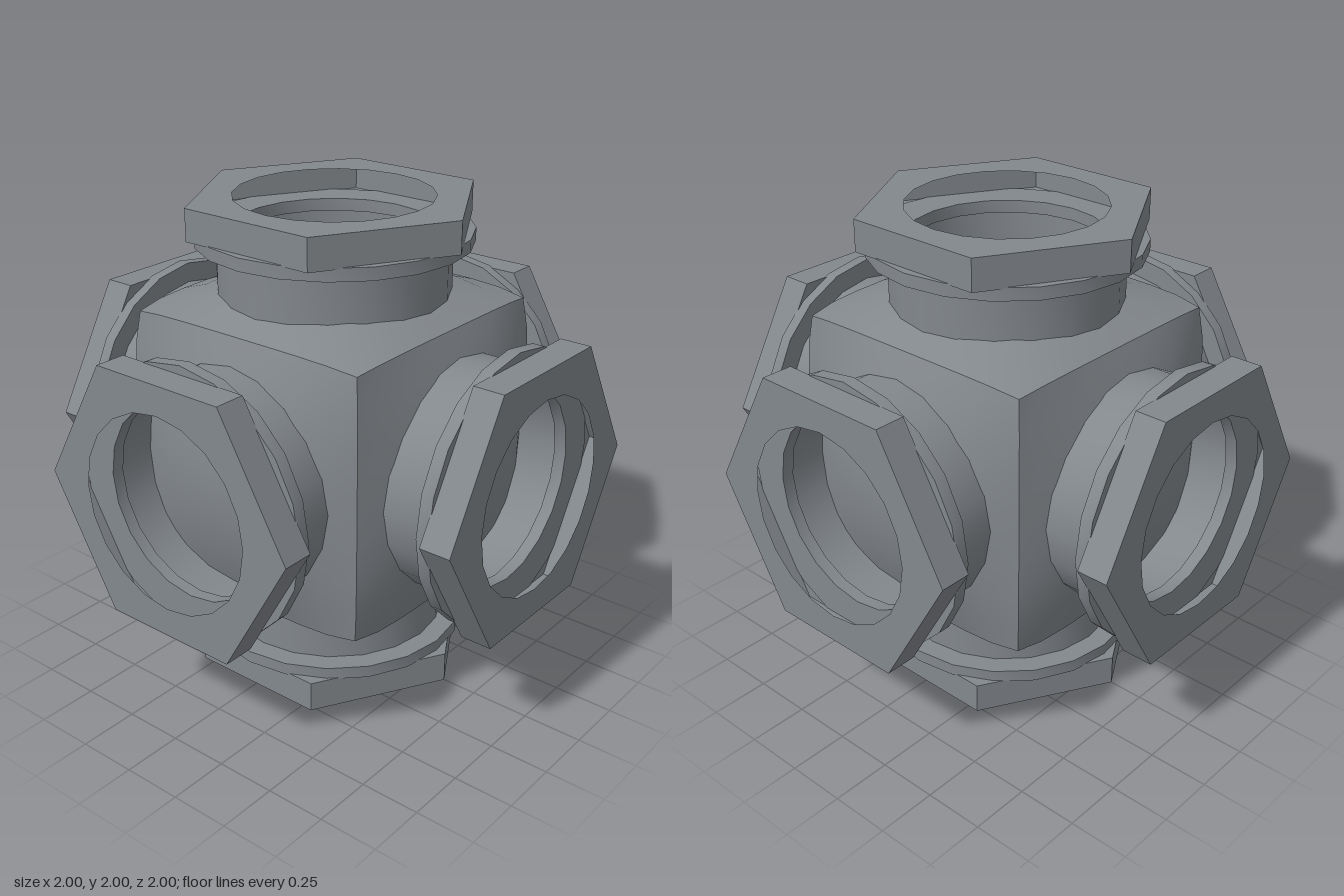
import * as THREE from 'three';
import { toCreasedNormals } from 'three/addons/utils/BufferGeometryUtils.js';

const SIDES = 20;

// Cube with softly domed faces and sharp edges
function bulgedCube(half, dome) {
  const geo = new THREE.BoxGeometry(2, 2, 2, 8, 8, 8);
  const p = geo.attributes.position;
  for (let i = 0; i < p.count; i++) {
    const x = p.getX(i), y = p.getY(i), z = p.getZ(i);
    const fx = 1 - x * x, fy = 1 - y * y, fz = 1 - z * z;
    const taper = 1 - 0.04 * Math.pow(x * y * z, 4);
    p.setXYZ(i,
      x * (half + dome * fy * fz) * taper,
      y * (half + dome * fx * fz) * taper,
      z * (half + dome * fx * fy) * taper);
  }
  geo.computeVertexNormals();
  return geo;
}

// Ring turned around the z axis from [radius, z] points
function turned(points) {
  const geo = new THREE.LatheGeometry(points.map(([r, z]) => new THREE.Vector2(r, z)), SIDES);
  geo.rotateX(Math.PI / 2);
  return toCreasedNormals(geo, 0.6);
}

// Hexagonal plate with a round hole, corners on the x axis
function hexPlate(radius, hole) {
  const ring = (r, n) => Array.from({ length: n }, (_, i) => {
    const a = (i / n) * Math.PI * 2;
    return new THREE.Vector2(r * Math.cos(a), r * Math.sin(a));
  });
  const shape = new THREE.Shape(ring(radius, 6));
  shape.holes.push(new THREE.Path(ring(hole, SIDES).reverse()));
  return new THREE.ShapeGeometry(shape);
}

export function createModel() {
  const steel = new THREE.MeshStandardMaterial({ color: 0x83888d, side: THREE.DoubleSide });
  steel.name = 'steel grey';
  const model = new THREE.Group();
  model.name = 'sixWayPipeFitting';

  const add = (parent, geo, name, z = 0) => {
    const mesh = new THREE.Mesh(geo, steel);
    mesh.name = name;
    mesh.position.z = z;
    parent.add(mesh);
  };

  add(model, bulgedCube(0.57, 0.145), 'body');

  // Shared parts of each outlet, pointing along +z: a thin pipe, a narrower flange, a hollow nut
  const pipe = turned([[0.47, 0.55], [0.47, 0.823], [0.455, 0.823], [0.455, 0.55]]);
  const flange = turned([[0.4, 0.823], [0.555, 0.823], [0.555, 0.875], [0.4, 0.875], [0.4, 0.823]]);
  const wall = toCreasedNormals(
    new THREE.CylinderGeometry(0.6, 0.6, 0.13, 6, 1, true).rotateY(Math.PI / 6).rotateX(Math.PI / 2), 0.6);
  const plate = hexPlate(0.6, 0.4);

  const q = Math.PI / 2;
  const outlets = {
    front: [0, 0, 0], back: [0, Math.PI, 0],
    left: [0, q, 0], right: [0, -q, 0],
    top: [-q, 0, q], bottom: [q, 0, q],
  };
  for (const [side, rotation] of Object.entries(outlets)) {
    const outlet = new THREE.Group();
    outlet.name = side + 'Outlet';
    add(outlet, pipe, 'pipe');
    add(outlet, flange, 'flange');
    add(outlet, plate, 'nutBack', 0.87);
    add(outlet, wall, 'nutWall', 0.935);
    add(outlet, plate, 'nutFace', 1);
    outlet.rotation.set(...rotation);
    model.add(outlet);
  }

  model.position.y = 1;
  const root = new THREE.Group();
  root.name = 'pipeFitting';
  root.add(model);
  return root;
}
